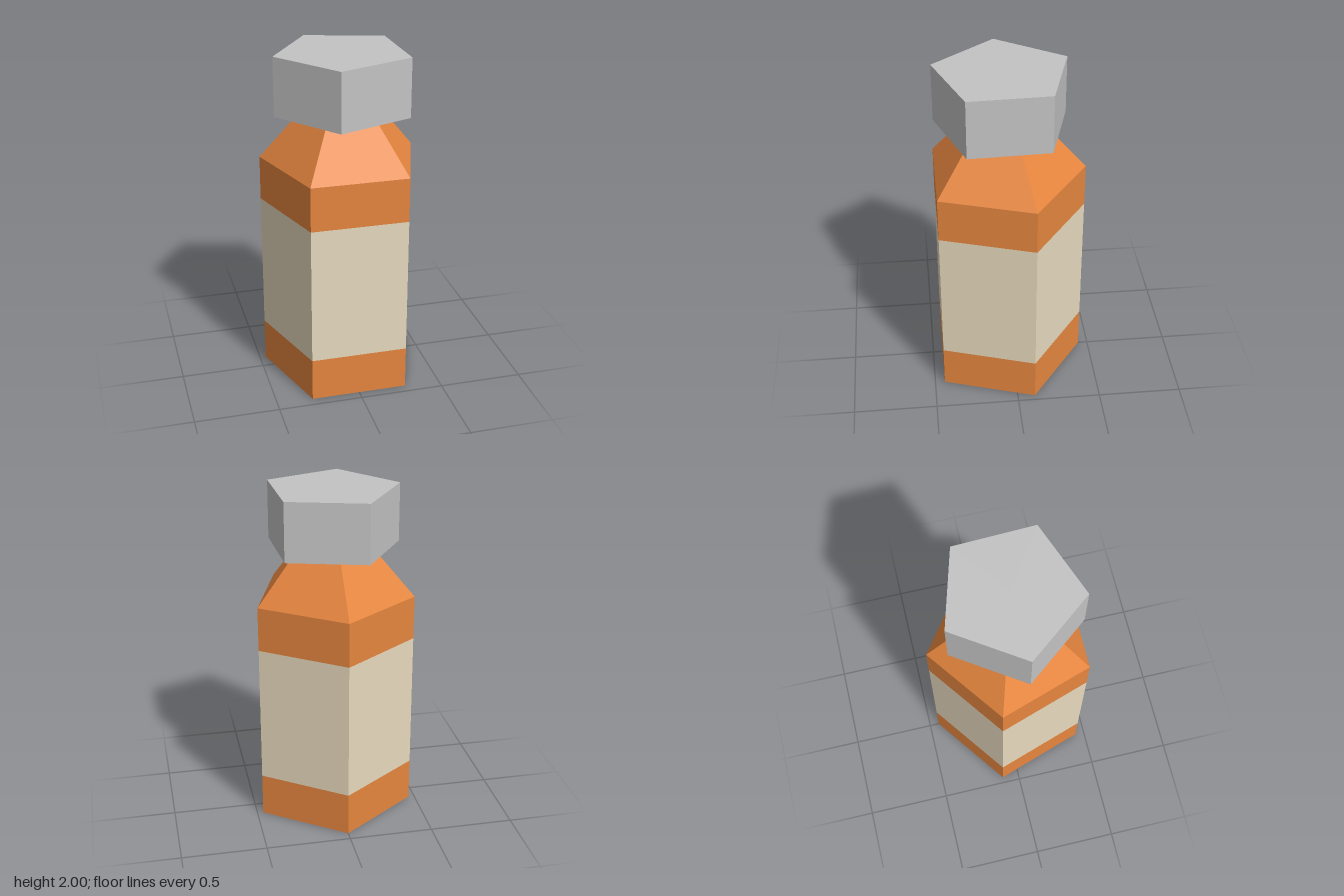
import * as THREE from 'three';

const CENTRE_Z = 0.046;

// Five-sided prism or frustum between two heights, with faceted normals
function prism(name, material, y0, y1, rBottom, rTop, angle, open = false) {
  const geometry = new THREE.CylinderGeometry(rTop, rBottom, y1 - y0, 5, 1, open, angle).toNonIndexed();
  geometry.computeVertexNormals();
  const mesh = new THREE.Mesh(geometry, material);
  mesh.name = name;
  mesh.position.set(0, (y0 + y1) / 2, CENTRE_Z);
  return mesh;
}

export function createModel() {
  const amber = new THREE.MeshStandardMaterial({ color: 0xe6863f });
  amber.name = 'amber';
  const cream = new THREE.MeshStandardMaterial({ color: 0xf1e3c6 });
  cream.name = 'cream';
  const grey = new THREE.MeshStandardMaterial({ color: 0xc3c3c3 });
  grey.name = 'grey';

  const R = 0.488;
  const bodyAngle = Math.PI; // one corner points straight back
  const capAngle = THREE.MathUtils.degToRad(-87.9); // cap is twisted on the neck

  const bottle = new THREE.Group();
  bottle.name = 'bottle';
  bottle.add(
    prism('base', amber, 0, 0.26, R, R, bodyAngle),
    prism('label', cream, 0.26, 1.09, R, R, bodyAngle, true),
    prism('upperBody', amber, 1.09, 1.355, R, R, bodyAngle, true),
    prism('shoulder', amber, 1.355, 1.64, R, R / 2, bodyAngle),
    // The cap sits just clear of the shoulder
    prism('cap', grey, 1.65, 2, 0.405, 0.405, capAngle)
  );
  return bottle;
}
